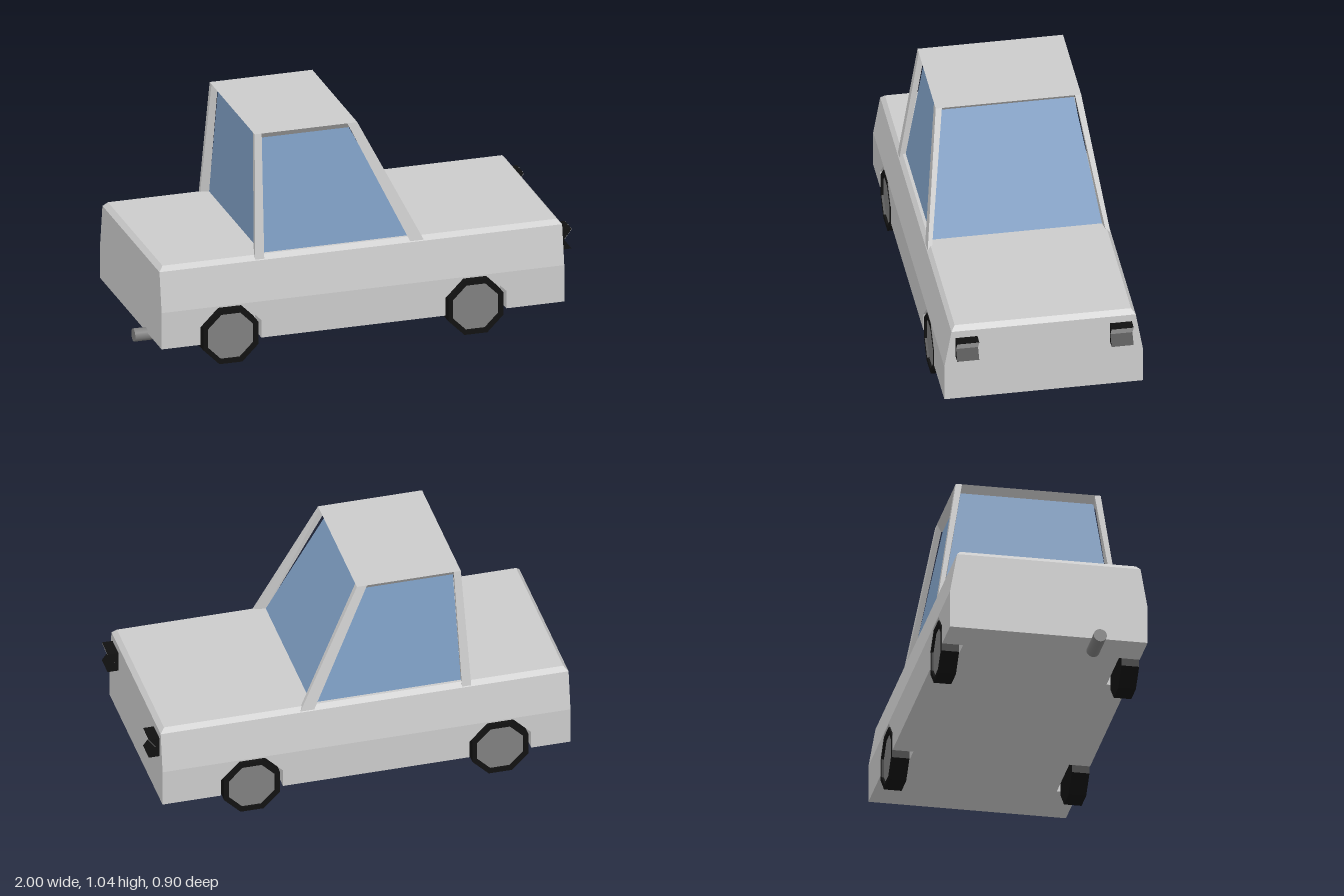
import * as THREE from 'three';
import { ConvexGeometry } from 'three/addons/geometries/ConvexGeometry.js';

const paint = (color) => new THREE.MeshStandardMaterial({ color, flatShading: true });
const grey = paint(0xcccccc), black = paint(0x111111), metal = paint(0x808080), blue = paint(0x7d9dc2);
const lens = new THREE.MeshStandardMaterial({ color: 0xcccccc, flatShading: true, side: THREE.DoubleSide });
const pipe = new THREE.MeshStandardMaterial({ color: 0x808080 });

const WHEEL_X = [-0.615, 0.535], WHEEL_Y = 0.13;
const BACK = -0.94, FRONT = 0.95, BASE = 0.105, WAIST = 0.28;

function add(parent, name, geometry, material) {
  const mesh = new THREE.Mesh(geometry, material);
  mesh.name = name;
  parent.add(mesh);
  return mesh;
}

// four corners of a level rectangle, symmetric in z
const rect = (x0, x1, y, z) => [[x0, z], [x1, z], [x1, -z], [x0, -z]].map(([x, w]) => new THREE.Vector3(x, y, w));
const hull = (...rings) => new ConvexGeometry(rings.flat());

// lower side panel with octagonal wheel arches
function sidePanel() {
  const shape = new THREE.Shape();
  shape.moveTo(BACK, BASE);
  for (const x of WHEEL_X) {
    const r = 0.155, a = r * Math.cos(Math.PI / 8), b = r * Math.sin(Math.PI / 8);
    shape.lineTo(x - a, BASE);
    shape.lineTo(x - a, WHEEL_Y + b);
    shape.lineTo(x - b, WHEEL_Y + a);
    shape.lineTo(x + b, WHEEL_Y + a);
    shape.lineTo(x + a, WHEEL_Y + b);
    shape.lineTo(x + a, BASE);
  }
  shape.lineTo(FRONT, BASE);
  shape.lineTo(FRONT, WAIST);
  shape.lineTo(BACK, WAIST);
  shape.closePath();
  return new THREE.ExtrudeGeometry(shape, { depth: 0.095, bevelEnabled: false });
}

// eight-sided tyre with a recessed hub, facing +z
function makeWheel() {
  const wheel = new THREE.Group();
  wheel.name = 'wheel';
  const profile = [[0, -0.04], [0.14, -0.04], [0.14, 0.04], [0.116, 0.04], [0.116, 0.03]]
    .map(([r, y]) => new THREE.Vector2(r, y));
  const tyre = new THREE.LatheGeometry(profile, 8, Math.PI / 8);
  tyre.rotateX(Math.PI / 2);
  add(wheel, 'tyre', tyre, black);
  const hub = new THREE.CircleGeometry(0.116, 8, Math.PI / 8);
  hub.translate(0, 0, 0.03);
  add(wheel, 'hub', hub, metal);
  return wheel;
}

// notched lamp block with a pale upper facet
function makeHeadlight() {
  const lamp = new THREE.Group();
  lamp.name = 'headlight';
  const points = [[0.94, 0.335], [1, 0.335], [0.965, 0.382], [1, 0.43], [0.94, 0.43]];
  const shape = new THREE.Shape(points.map(([x, y]) => new THREE.Vector2(x, y)));
  const housing = new THREE.ExtrudeGeometry(shape, { depth: 0.1, bevelEnabled: false });
  housing.translate(0, 0, -0.05);
  add(lamp, 'headlightHousing', housing, black);
  const facet = new THREE.PlaneGeometry(0.1, Math.hypot(0.035, 0.048));
  facet.rotateX(Math.atan2(0.035, 0.048));
  facet.rotateY(Math.PI / 2);
  facet.translate(0.9835, 0.4055, 0);
  add(lamp, 'headlightLens', facet, lens);
  return lamp;
}

// roof pillar: outer corner, strips on both faces, inner corner at the glass
function pillarGeometry(bottom, top, side) {
  const corners = ([cx, ax, ix, y, cz, bz, iz]) =>
    [[cx, cz], [ax, cz], [ix, iz], [cx, bz]].map(([x, z]) => new THREE.Vector3(x, y, z * side));
  return hull(corners(bottom), corners(top));
}

export function createModel() {
  const car = new THREE.Group();
  car.name = 'car';

  // body
  const body = new THREE.Group();
  body.name = 'body';
  car.add(body);
  add(body, 'upperBody', hull(
    rect(BACK, FRONT, WAIST, 0.45),
    rect(BACK, FRONT, 0.465, 0.418),
    rect(BACK + 0.02, FRONT - 0.02, 0.487, 0.4)), grey);
  add(body, 'underbody', hull(rect(BACK, FRONT, BASE, 0.355), rect(BACK, FRONT, WAIST, 0.355)), grey);
  for (const z of [0.355, -0.45]) add(body, 'sidePanel', sidePanel(), grey).position.z = z;

  // cabin
  const cabin = new THREE.Group();
  cabin.name = 'cabin';
  car.add(cabin);
  add(cabin, 'windows', hull(rect(-0.45, 0.25, 0.475, 0.388), rect(-0.435, -0.015, 1.008, 0.302)), blue);
  add(cabin, 'roof', hull(rect(-0.435, -0.015, 1.006, 0.302), rect(-0.465, 0.017, 1.037, 0.33)), grey);
  for (const side of [1, -1]) {
    add(cabin, 'frontPillar', pillarGeometry(
      [0.302, 0.238, 0.25, 0.468, 0.415, 0.396, 0.388],
      [0.017, -0.03, -0.015, 1.037, 0.33, 0.302, 0.302], side), grey);
    add(cabin, 'rearPillar', pillarGeometry(
      [-0.49, -0.447, -0.45, 0.468, 0.415, 0.396, 0.388],
      [-0.465, -0.432, -0.435, 1.037, 0.33, 0.302, 0.302], side), grey);
  }

  // wheels and headlights, mirrored
  for (const side of [1, -1]) {
    for (const x of WHEEL_X) {
      const wheel = makeWheel();
      wheel.position.set(x, WHEEL_Y, 0.41 * side);
      if (side < 0) wheel.rotation.y = Math.PI;
      car.add(wheel);
    }
    const lamp = makeHeadlight();
    lamp.position.z = 0.35 * side;
    car.add(lamp);
  }

  // exhaust
  const exhaust = add(car, 'exhaustPipe', new THREE.CylinderGeometry(0.03, 0.03, 0.17, 20), pipe);
  exhaust.rotation.z = Math.PI / 2;
  exhaust.position.set(-0.915, 0.095, 0.223);

  return car;
}
